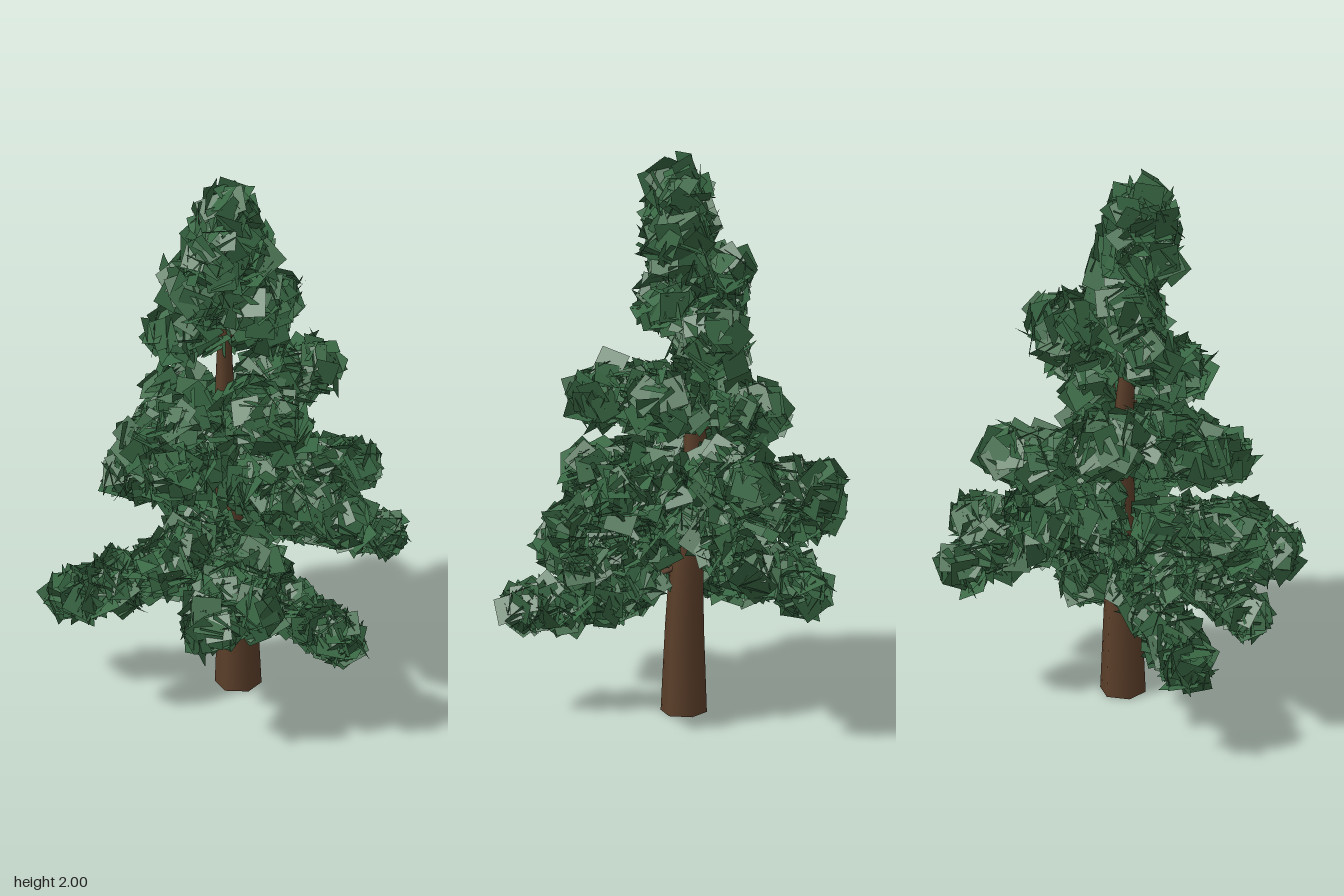
import * as THREE from 'three';
import { mergeGeometries } from 'three/addons/utils/BufferGeometryUtils.js';

const V = (x, y, z) => new THREE.Vector3(x, y, z);

// Small seeded generator
let seed = 7;
function rand() {
  seed = (seed * 16807) % 2147483647;
  return seed / 2147483647;
}
const spread = (a) => (rand() * 2 - 1) * a;

// Centre line of the slightly bent trunk
const spine = new THREE.CatmullRomCurve3([
  V(0.027, 0, 0.008), V(0.02, 0.46, 0.005), V(-0.015, 0.92, -0.01),
  V(-0.02, 1.38, 0.02), V(-0.01, 1.84, 0.06),
]);
const trunkAt = (y) => {
  const p = spine.getPoint(THREE.MathUtils.clamp(y / 1.84, 0, 1));
  p.y = y;
  return p;
};

// Branches: [height on trunk, tip x, y, z, clump radius, rise of the middle]
const BRANCHES = [
  [0.54, -0.54, 0.36, 0.07, 0.075, -0.04],
  [0.54, 0.41, 0.39, 0.40, 0.07, -0.06],
  [0.60, -0.03, 0.50, 0.54, 0.085, -0.03],
  [0.60, 0.12, 0.53, 0.47, 0.08, -0.02],
  [0.62, -0.46, 0.48, 0.31, 0.055, 0.01],
  [0.66, 0.54, 0.63, 0.06, 0.055, 0.03],
  [0.66, 0.06, 0.55, -0.55, 0.075, 0.03],
  [0.70, 0.24, 0.63, -0.46, 0.07, 0.03],
  [0.68, -0.38, 0.66, -0.26, 0.06, 0.03],
  [0.78, -0.25, 0.80, -0.35, 0.09, 0.02],
  [0.70, -0.20, 0.63, 0.35, 0.085, 0.02],
  [0.80, 0.41, 0.74, 0.18, 0.085, 0.03],
  [0.82, 0.19, 0.86, 0.29, 0.085, 0.02],
  [0.84, 0.42, 0.87, 0.0, 0.08, 0.03],
  [0.86, 0.12, 0.92, -0.36, 0.10, 0.03],
  [0.92, -0.18, 0.96, 0.31, 0.09, 0.02],
  [1.00, -0.27, 1.03, 0.20, 0.10, 0.03],
  [1.00, -0.20, 1.05, -0.13, 0.10, 0.03],
  [1.14, 0.27, 1.20, -0.08, 0.10, 0.03],
  [1.10, 0.19, 1.13, 0.26, 0.10, 0.03],
  [1.34, 0.11, 1.40, -0.20, 0.115, 0.02],
  [1.36, -0.19, 1.39, 0.03, 0.09, 0.02],
  [1.50, -0.14, 1.54, -0.02, 0.10, 0.02],
  [1.46, 0.11, 1.50, 0.00, 0.10, 0.02],
];

// Square leaf cards scattered over a ball, facing loosely outward
function addClump(cards, centre, radius) {
  const forward = V(0, 0, 1);
  const count = Math.round(20 + radius * 240);
  for (let i = 0; i < count; i++) {
    const h = 1 - (2 * (i + 0.5)) / count;
    const a = i * 2.39996 + spread(0.4);
    const s = Math.sqrt(1 - h * h);
    const dir = V(s * Math.cos(a), h, s * Math.sin(a));
    const normal = dir.clone().add(V(spread(0.75), spread(0.75), spread(0.75))).normalize();
    const size = 0.08 + rand() * 0.03;
    const card = new THREE.PlaneGeometry(size, size);
    card.rotateZ(rand() * Math.PI);
    card.applyQuaternion(new THREE.Quaternion().setFromUnitVectors(forward, normal));
    const p = dir.multiplyScalar(radius * (0.65 + rand() * 0.35)).add(centre);
    card.translate(p.x, p.y, p.z);
    cards.push(card);
  }
}

export function createModel() {
  seed = 7;
  const model = new THREE.Group();
  model.name = 'pineTree';
  const bark = new THREE.MeshStandardMaterial({ color: 0x5c3f2a });
  const needles = new THREE.MeshStandardMaterial({ color: 0x386743, side: THREE.DoubleSide });

  const add = (geometry, material, name) => {
    const mesh = new THREE.Mesh(geometry, material);
    mesh.name = name;
    model.add(mesh);
  };

  // Trunk: tapered six-sided cylinder bent along the spine
  const trunk = new THREE.CylinderGeometry(0.004, 0.081, 1.84, 6, 12);
  trunk.rotateY(Math.PI / 2);
  trunk.translate(0, 0.92, 0);
  const pos = trunk.attributes.position;
  for (let i = 0; i < pos.count; i++) {
    const c = trunkAt(pos.getY(i));
    pos.setX(i, pos.getX(i) + c.x);
    pos.setZ(i, pos.getZ(i) + c.z);
  }
  add(trunk, bark, 'trunk');

  // Boughs: a thin limb with a row of leaf clumps out to the tip
  BRANCHES.forEach(([y, tx, ty, tz, r, rise]) => {
    const start = trunkAt(y);
    const tip = V(tx, ty, tz);
    const mid = start.clone().lerp(tip, 0.5).add(V(0, rise, 0));
    const curve = new THREE.QuadraticBezierCurve3(start, mid, tip);
    add(new THREE.TubeGeometry(curve, 5, 0.01, 5), bark, 'limb');

    const cards = [];
    const length = start.distanceTo(tip);
    const first = Math.min(0.6, 0.15 / length);
    const steps = Math.max(1, Math.ceil((length * (1 - first)) / 0.085));
    for (let i = 0; i <= steps; i++) {
      const t = first + ((1 - first) * i) / steps;
      const c = curve.getPoint(t);
      if (i < steps) c.add(V(spread(0.02), spread(0.02), spread(0.02)));
      addClump(cards, c, r * (1.15 - 0.15 * t));
    }
    add(mergeGeometries(cards), needles, 'boughFoliage');
  });

  // Crown: stacked clumps around the trunk top
  const crown = [];
  [
    [0.04, 1.61, 0.01, 0.12], [-0.06, 1.71, 0.08, 0.10], [0.03, 1.70, 0.04, 0.12],
    [-0.02, 1.78, 0.08, 0.12], [-0.01, 1.865, 0.06, 0.105],
  ].forEach(([x, y, z, r]) => addClump(crown, V(x, y, z), r));
  add(mergeGeometries(crown), needles, 'crownFoliage');

  return model;
}
